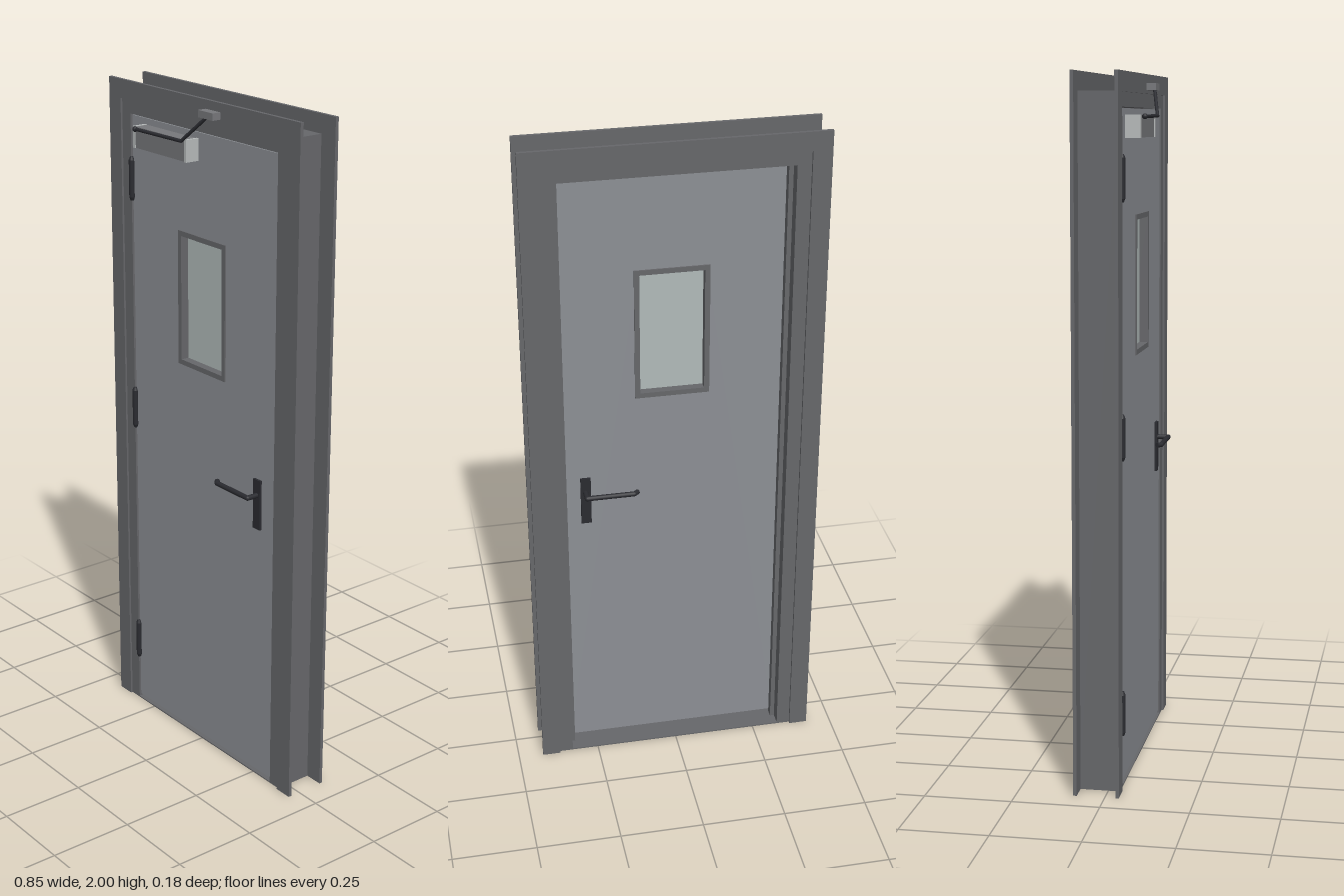
import * as THREE from 'three';

const mat = (name, color) => {
  const m = new THREE.MeshStandardMaterial({ color });
  m.name = name;
  return m;
};

export function createModel() {
  const root = new THREE.Group();
  root.name = 'fireDoor';

  const frameGrey = mat('frame grey', 0x66676a);
  const doorGrey = mat('door grey', 0x8c8f94);
  const closerGrey = mat('closer grey', 0x77787b);
  const capGrey = mat('light cap grey', 0xb6baba);
  const glassTint = mat('pale glass', 0xb0bab9);
  const black = mat('black metal', 0x2a2b30);

  const add = (parent, name, geometry, material) => {
    const mesh = new THREE.Mesh(geometry, material);
    mesh.name = name;
    parent.add(mesh);
    return mesh;
  };
  // Box given by its limits on each axis
  const box = (parent, name, material, x0, x1, y0, y1, z0, z1) => {
    const mesh = add(parent, name, new THREE.BoxGeometry(x1 - x0, y1 - y0, z1 - z0), material);
    mesh.position.set((x0 + x1) / 2, (y0 + y1) / 2, (z0 + z1) / 2);
    return mesh;
  };
  const polygon = (pts) => new THREE.Shape(pts.map(([x, y]) => new THREE.Vector2(x, y)));
  const rect = (x0, x1, y0, y1) => polygon([[x0, y0], [x1, y0], [x1, y1], [x0, y1]]);
  const plate = (parent, name, material, shape, z0, z1) => {
    const geometry = new THREE.ExtrudeGeometry(shape, { depth: z1 - z0, bevelEnabled: false });
    geometry.translate(0, 0, z0);
    return add(parent, name, geometry, material);
  };
  // Round bar through a list of points, with ball joints at the bends
  const bar = (parent, name, material, pts, r) => {
    const v = pts.map((p) => new THREE.Vector3(...p));
    for (let i = 0; i < v.length - 1; i++) {
      const dir = v[i + 1].clone().sub(v[i]);
      const rod = add(parent, name, new THREE.CylinderGeometry(r, r, dir.length(), 14), material);
      rod.position.copy(v[i]).addScaledVector(dir, 0.5);
      rod.quaternion.setFromUnitVectors(new THREE.Vector3(0, 1, 0), dir.normalize());
      if (i > 0) add(parent, name + 'Joint', new THREE.SphereGeometry(r, 14, 10), material).position.copy(v[i]);
    }
  };

  // Mitred architraves on both faces of the wall opening
  for (const [side, z0, z1] of [['front', 0.03, 0.04], ['back', -0.09, -0.08]]) {
    const trim = new THREE.Group();
    trim.name = side + 'Architrave';
    root.add(trim);
    for (const s of [-1, 1]) {
      plate(trim, 'architraveSide', frameGrey,
        polygon([[s * 0.425, 0], [s * 0.37, 0], [s * 0.37, 1.945], [s * 0.425, 2]]), z0, z1);
    }
    plate(trim, 'architraveHead', frameGrey,
      polygon([[-0.425, 2], [-0.37, 1.945], [0.37, 1.945], [0.425, 2]]), z0, z1);
  }

  // Frame lining, door stops and sill
  const lining = new THREE.Group();
  lining.name = 'frameLining';
  root.add(lining);
  for (const s of [-1, 1]) {
    const [a, b, c] = [0.317, 0.33, 0.37].map((x) => x * s);
    box(lining, 'jamb', frameGrey, Math.min(b, c), Math.max(b, c), 0, 1.947, -0.082, 0.034);
    box(lining, 'jambStop', frameGrey, Math.min(a, b), Math.max(a, b), 0.004, 1.905, -0.045, -0.021);
  }
  box(lining, 'head', frameGrey, -0.33, 0.33, 1.905, 1.947, -0.082, 0.034);
  box(lining, 'headStop', frameGrey, -0.317, 0.317, 1.892, 1.905, -0.045, -0.021);
  box(lining, 'sill', frameGrey, -0.33, 0.33, 0, 0.004, -0.082, 0.034);

  // Door leaf with window opening
  const leaf = rect(-0.327, 0.327, 0.014, 1.902);
  leaf.holes.push(rect(-0.1, 0.1, 1.215, 1.6));
  plate(root, 'doorLeaf', doorGrey, leaf, -0.02, 0.03);

  // Window surround and pane
  const surround = rect(-0.108, 0.108, 1.207, 1.607);
  surround.holes.push(rect(-0.093, 0.093, 1.222, 1.592));
  plate(root, 'windowSurround', frameGrey, surround, -0.024, 0.034);
  box(root, 'windowPane', glassTint, -0.093, 0.093, 1.222, 1.592, 0.001, 0.009);

  // Hinges
  for (const y of [1.715, 1.005, 0.215]) {
    const hinge = new THREE.Group();
    hinge.name = 'hinge';
    hinge.position.set(-0.329, y, 0.033);
    root.add(hinge);
    add(hinge, 'hingeBarrel', new THREE.CylinderGeometry(0.009, 0.009, 0.11, 14), black);
    for (const s of [-1, 1]) {
      const tip = add(hinge, 'hingeTip',
        new THREE.CylinderGeometry(s > 0 ? 0.005 : 0.009, s > 0 ? 0.009 : 0.005, 0.01, 14), black);
      tip.position.y = s * 0.06;
    }
  }

  // Lever handles on both faces of the leaf
  for (const [side, face, d] of [['front', 0.03, 1], ['back', -0.02, -1]]) {
    const handle = new THREE.Group();
    handle.name = side + 'Handle';
    root.add(handle);
    const out = face + d * 0.007;
    box(handle, 'handlePlate', black, 0.243, 0.273, 0.805, 0.957, Math.min(face, out), Math.max(face, out));
    bar(handle, 'lever', black, [
      [0.259, 0.91, face], [0.259, 0.91, face + d * 0.04],
      [0.12, 0.91, face + d * 0.04], [0.108, 0.91, face + d * 0.03],
    ], 0.0075);
  }

  // Overhead door closer: body, end caps, folding arm and shoe
  const closer = new THREE.Group();
  closer.name = 'doorCloser';
  root.add(closer);
  box(closer, 'closerBody', closerGrey, -0.255, -0.025, 1.823, 1.884, 0.03, 0.071);
  box(closer, 'closerCap', capGrey, -0.265, -0.255, 1.822, 1.885, 0.03, 0.073);
  box(closer, 'closerCap', capGrey, -0.025, -0.016, 1.822, 1.885, 0.03, 0.073);
  bar(closer, 'closerArm', black, [
    [-0.243, 1.88, 0.081], [-0.028, 1.882, 0.081], [0.06, 1.96, 0.058],
  ], 0.005);
  add(closer, 'armPivot', new THREE.SphereGeometry(0.008, 14, 10), black).position.set(-0.243, 1.88, 0.081);
  box(closer, 'armShoe', closerGrey, 0.03, 0.094, 1.955, 1.975, 0.034, 0.067);

  return root;
}
